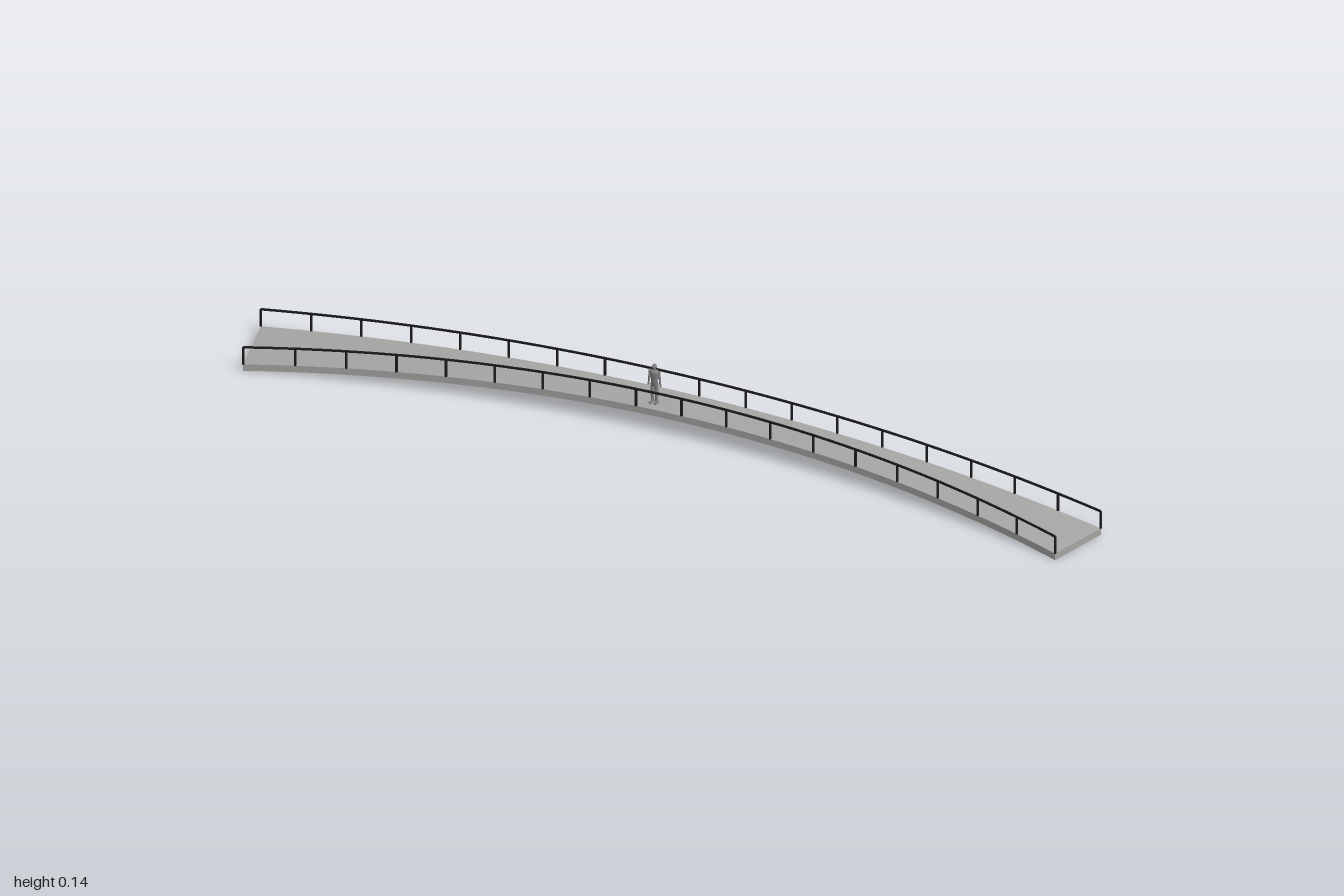
import * as THREE from 'three';

const concrete = new THREE.MeshStandardMaterial({ color: 0xa6a6a4 });
concrete.name = 'concrete grey';
const iron = new THREE.MeshStandardMaterial({ color: 0x1c1c1c });
iron.name = 'railing black';
const figureGrey = new THREE.MeshStandardMaterial({ color: 0x858585 });
figureGrey.name = 'figure grey';

const SEGMENTS = 48, BAYS = 18, THICK = 0.015, RAIL_HEIGHT = 0.042, BAR = 0.004;

// Edges of the underside, t from -1 to 1 along the arch
const rise = t => 0.036 * (1 - t * t);
const outerEdge = t => new THREE.Vector3(t, rise(t), -0.125 + 0.0835 * (t + 0.078) ** 2);
const innerEdge = t => {
  const x = 0.01 + 0.96 * t;
  return new THREE.Vector3(x, rise(t), -0.025 + 0.159 * (x - 0.01) ** 2);
};

// Joins four-cornered cross-sections into a closed faceted solid
function sweep(section) {
  const pos = [];
  const quad = (a, b, c, d) => [a, b, c, a, c, d].forEach(p => pos.push(p.x, p.y, p.z));
  let last = section(-1);
  quad(...last);
  for (let i = 1; i <= SEGMENTS; i++) {
    const next = section(-1 + 2 * i / SEGMENTS);
    for (let k = 0; k < 4; k++) {
      const n = (k + 1) % 4;
      quad(last[k], next[k], next[n], last[n]);
    }
    last = next;
  }
  quad(...last.reverse());
  const geometry = new THREE.BufferGeometry();
  geometry.setAttribute('position', new THREE.Float32BufferAttribute(pos, 3));
  geometry.computeVertexNormals();
  return geometry;
}

const lift = (p, y, z = 0) => new THREE.Vector3(p.x, p.y + y, p.z + z);

function add(parent, name, geometry, material, x = 0, y = 0, z = 0) {
  const mesh = new THREE.Mesh(geometry, material);
  mesh.name = name;
  mesh.position.set(x, y, z);
  parent.add(mesh);
  return mesh;
}

// Handrail with evenly spaced posts along one edge
function railing(name, edge) {
  const group = new THREE.Group();
  group.name = name;
  const h = BAR / 2, top = THICK + RAIL_HEIGHT;
  add(group, 'handrail', sweep(t => {
    const p = edge(t);
    return [lift(p, top - BAR, -h), lift(p, top - BAR, h), lift(p, top, h), lift(p, top, -h)];
  }), iron);
  const post = new THREE.BoxGeometry(BAR, RAIL_HEIGHT - h, BAR);
  for (let i = 0; i <= BAYS; i++) {
    const p = edge(-1 + 2 * i / BAYS);
    add(group, 'post', post, iron, p.x, p.y + THICK + RAIL_HEIGHT / 2 - h / 2, p.z);
  }
  return group;
}

// Small standing person
function person() {
  const group = new THREE.Group();
  group.name = 'person';
  const leg = new THREE.CylinderGeometry(0.0048, 0.003, 0.042, 8);
  const arm = new THREE.CylinderGeometry(0.0028, 0.002, 0.036, 8);
  for (const s of [-1, 1]) {
    add(group, 'leg', leg, figureGrey, s * 0.005, 0.023, 0);
    add(group, 'shoe', new THREE.BoxGeometry(0.006, 0.004, 0.015), figureGrey, s * 0.0055, 0.002, 0.003);
    add(group, 'arm', arm, figureGrey, s * 0.0125, 0.057, 0).rotation.z = s * 0.1;
  }
  const torso = new THREE.LatheGeometry([
    [0, 0.038], [0.0085, 0.04], [0.008, 0.05], [0.0095, 0.062], [0.0115, 0.07], [0.009, 0.075], [0, 0.077],
  ].map(([r, y]) => new THREE.Vector2(r, y)), 12);
  torso.scale(1, 1, 0.62);
  add(group, 'torso', torso, figureGrey);
  add(group, 'neck', new THREE.CylinderGeometry(0.0026, 0.003, 0.007, 8), figureGrey, 0, 0.078, 0);
  add(group, 'head', new THREE.SphereGeometry(0.006, 12, 8), figureGrey, 0, 0.084, 0.0005).scale.set(0.85, 1.1, 1);
  return group;
}

export function createModel() {
  const model = new THREE.Group();
  model.name = 'curvedFootbridge';

  // Arched deck, narrow at the middle and wider at the ends
  add(model, 'deck', sweep(t => {
    const o = outerEdge(t), i = innerEdge(t);
    return [o, i, lift(i, THICK), lift(o, THICK)];
  }), concrete);

  model.add(railing('outerRailing', outerEdge), railing('innerRailing', innerEdge));

  const walker = person();
  walker.position.set(-0.07, rise(-0.07) + THICK, -0.056);
  model.add(walker);
  return model;
}
